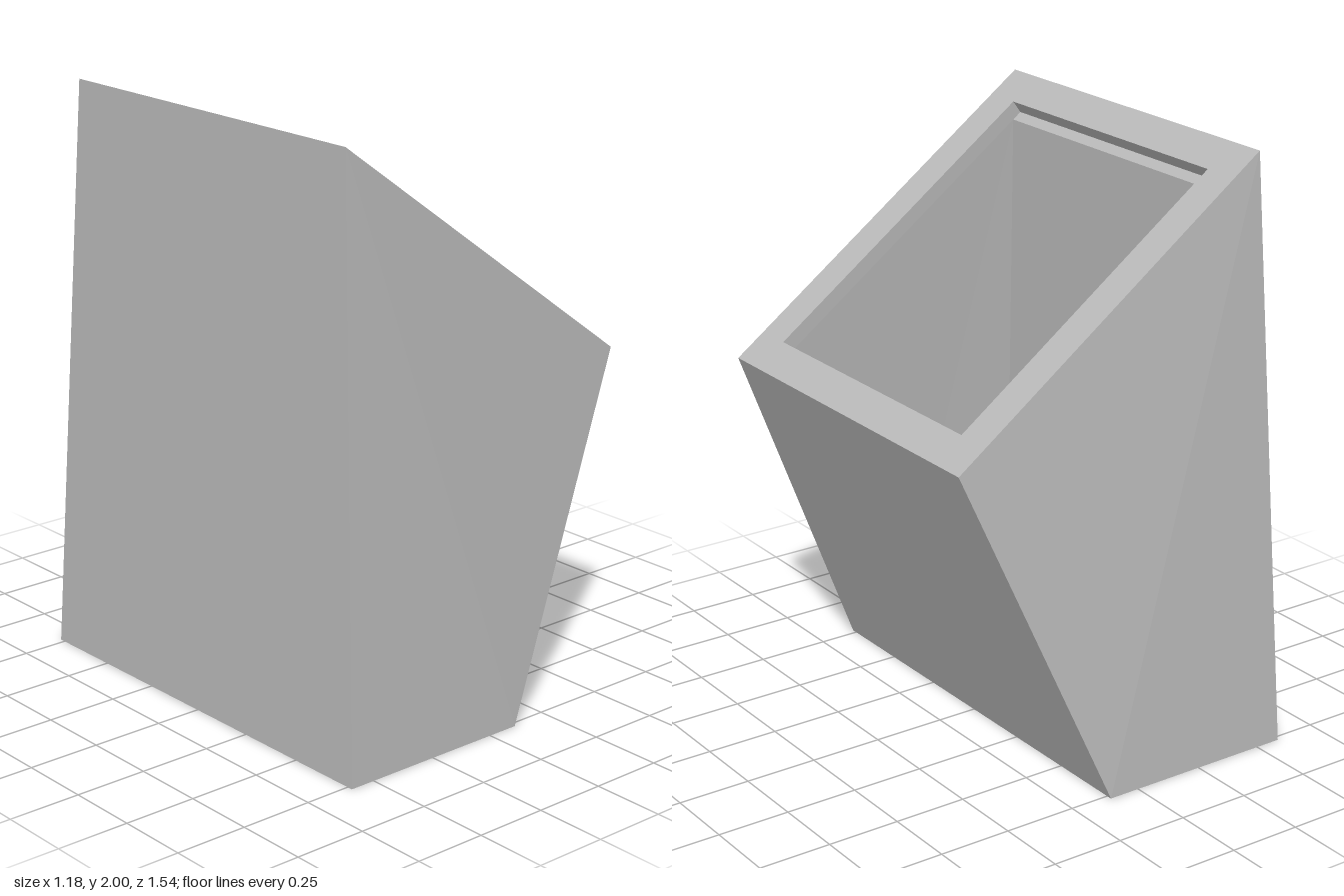
import * as THREE from 'three';

// Four corners of a sloped rectangle: low-x edge, high-x edge, front and back z
const ring = (x0, y0, x1, y1, zf, zb) => [
  [x0, y0, zf], [x1, y1, zf], [x1, y1, zb], [x0, y0, zb],
].map((p) => new THREE.Vector3(...p));

// Flat-faced skin through successive rings; bend picks the fold of the twisted sides
function loft(rings, bend) {
  const pos = [];
  const tri = new THREE.Triangle();
  const add = (a, b, c) => {
    if (tri.set(a, b, c).getArea() > 1e-6) for (const v of [a, b, c]) pos.push(v.x, v.y, v.z);
  };
  for (let k = 0; k + 1 < rings.length; k++) {
    for (let i = 0; i < 4; i++) {
      const j = (i + 1) % 4;
      const p = rings[k][i], q = rings[k][j], r = rings[k + 1][j], s = rings[k + 1][i];
      if ((i < 2) === bend) { add(p, q, s); add(q, r, s); }
      else { add(p, q, r); add(p, r, s); }
    }
  }
  const g = new THREE.BufferGeometry();
  g.setAttribute('position', new THREE.Float32BufferAttribute(pos, 3));
  g.computeVertexNormals();
  return g;
}

export function createModel() {
  const model = new THREE.Group();
  const grey = new THREE.MeshStandardMaterial({ color: 0xb8b8b8 });
  grey.name = 'plain grey';

  const base = ring(-0.59, 0, 0.11, 0, 0.77, -0.77);
  const top = ring(-0.55, 2, 0.59, 1.17, 0.69, -0.62);
  const mouth = ring(-0.45, 1.927, 0.49, 1.243, 0.56, -0.49);
  const recess = ring(-0.48, 1.886, 0.46, 1.202, 0.56, -0.49);
  const cavity = ring(-0.45, 1.864, 0.46, 1.202, 0.56, -0.49);
  const outlet = ring(-0.47, 0, 0.02, 0, 0.625, -0.64);

  const parts = {
    outerShell: [[base, top], true],
    slopedRim: [[top, mouth], true],
    mouthRecess: [[mouth, recess, cavity], true], // square cut with a narrow ledge
    innerDuct: [[cavity, outlet], false],
    bottomRim: [[outlet, base], true],
  };
  for (const [name, [rings, bend]] of Object.entries(parts)) {
    const mesh = new THREE.Mesh(loft(rings, bend), grey);
    mesh.name = name;
    model.add(mesh);
  }
  return model;
}
